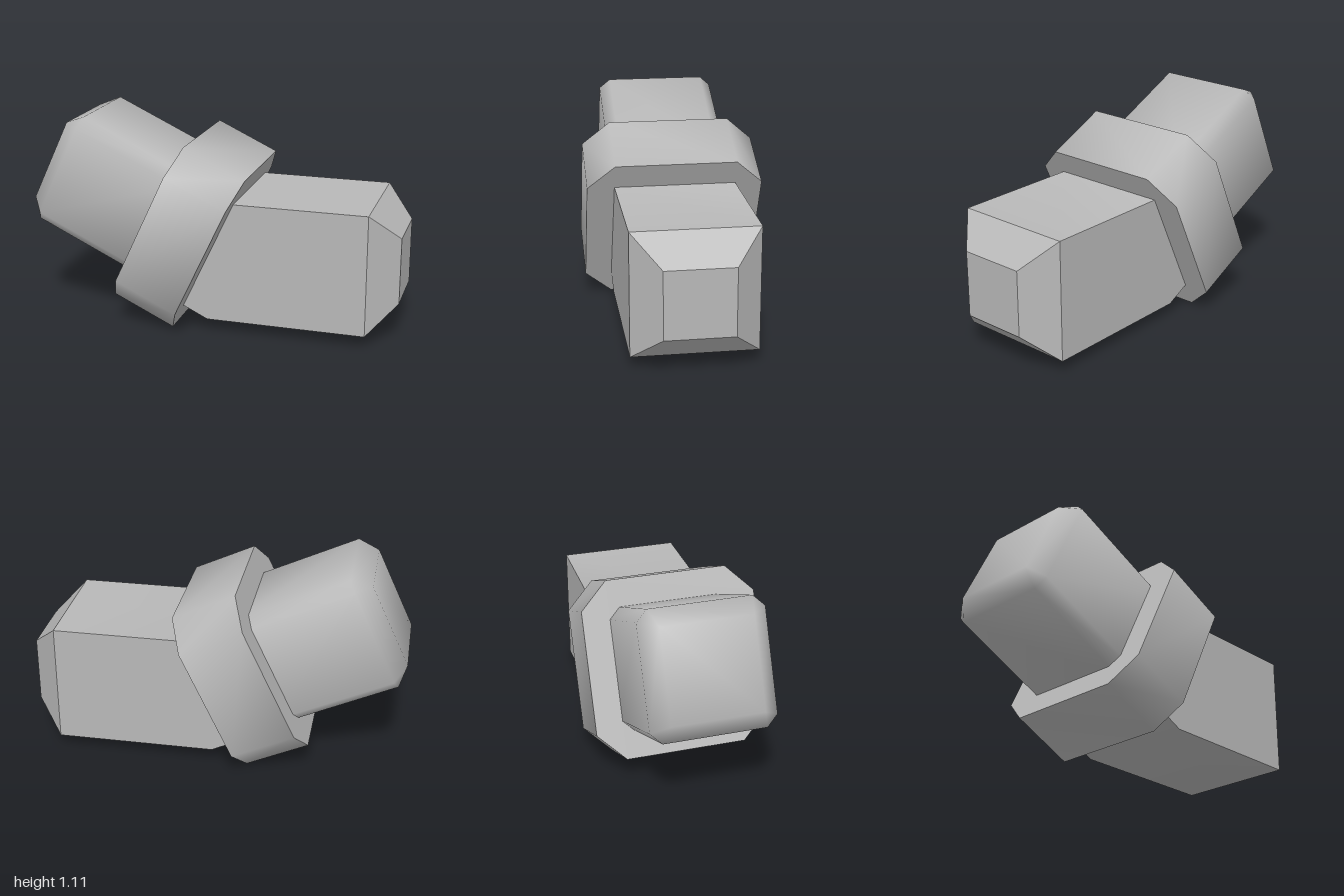
import * as THREE from 'three';
import { toCreasedNormals } from 'three/addons/utils/BufferGeometryUtils.js';

const grey = new THREE.MeshStandardMaterial({ color: 0xb8b8b8 });
grey.name = 'grey';

// Skin a row of matching cross-sections running along +x and cap both ends.
function loft(sections, crease) {
  const pos = [];
  const ab = new THREE.Vector3(), ac = new THREE.Vector3();
  const tri = (a, b, c) => {
    ab.subVectors(b, a);
    ac.subVectors(c, a);
    if (ab.cross(ac).length() < 1e-7) return; // skip collapsed corners
    for (const p of [a, b, c]) pos.push(p.x, p.y, p.z);
  };
  const n = sections[0].length;
  for (let k = 0; k < sections.length - 1; k++) {
    const s = sections[k], t = sections[k + 1];
    for (let i = 0; i < n; i++) {
      const j = (i + 1) % n;
      tri(s[i], s[j], t[i]);
      tri(s[j], t[j], t[i]);
    }
  }
  const first = sections[0], last = sections[sections.length - 1];
  for (let i = 1; i < n - 1; i++) {
    tri(first[0], first[i + 1], first[i]);
    tri(last[0], last[i], last[i + 1]);
  }
  const g = new THREE.BufferGeometry();
  g.setAttribute('position', new THREE.Float32BufferAttribute(pos, 3));
  return toCreasedNormals(g, crease);
}

// Square of half-size h with its corners cut back to f.
const octagon = (x, h, f) =>
  [[h, -f], [h, f], [f, h], [-f, h], [-h, f], [-h, -f], [-f, -h], [f, -h]]
    .map(([y, z]) => new THREE.Vector3(x, y, z));

// Four-cornered section whose top and bottom edges may sit at different x.
const quad = (topX, topY, lowX, lowY, w) => [
  new THREE.Vector3(topX, topY, -w), new THREE.Vector3(topX, topY, w),
  new THREE.Vector3(lowX, lowY, w), new THREE.Vector3(lowX, lowY, -w),
];

function part(name, geometry) {
  const m = new THREE.Mesh(geometry, grey);
  m.name = name;
  return m;
}

export function createModel() {
  const model = new THREE.Group();
  model.name = 'elbowConnector';

  // Collar and upper arm share the tilted axis
  const tilted = new THREE.Group();
  tilted.name = 'tiltedEnd';
  tilted.position.set(-0.154, 0.5025, 0);
  tilted.rotation.z = -0.439;
  tilted.add(part('collar', loft([octagon(-0.181, 0.467, 0.322), octagon(0.181, 0.467, 0.322)], 1)));
  tilted.add(part('upperArm', loft([
    octagon(-0.828, 0.236, 0.236),
    octagon(-0.745, 0.323, 0.265),
    octagon(-0.1, 0.323, 0.265),
  ], 1.1)));
  model.add(tilted);

  // Level arm, bent where it leaves the collar and tapered at its end
  model.add(part('levelArm', loft([
    quad(0.119, 0.731, -0.155, 0.147, 0.323),
    quad(0.147, 0.718, 0.005, 0.07, 0.323),
    quad(0.85, 0.718, 0.85, 0.07, 0.323),
    quad(1, 0.57, 1, 0.215, 0.178),
  ], 0.5)));

  return model;
}
